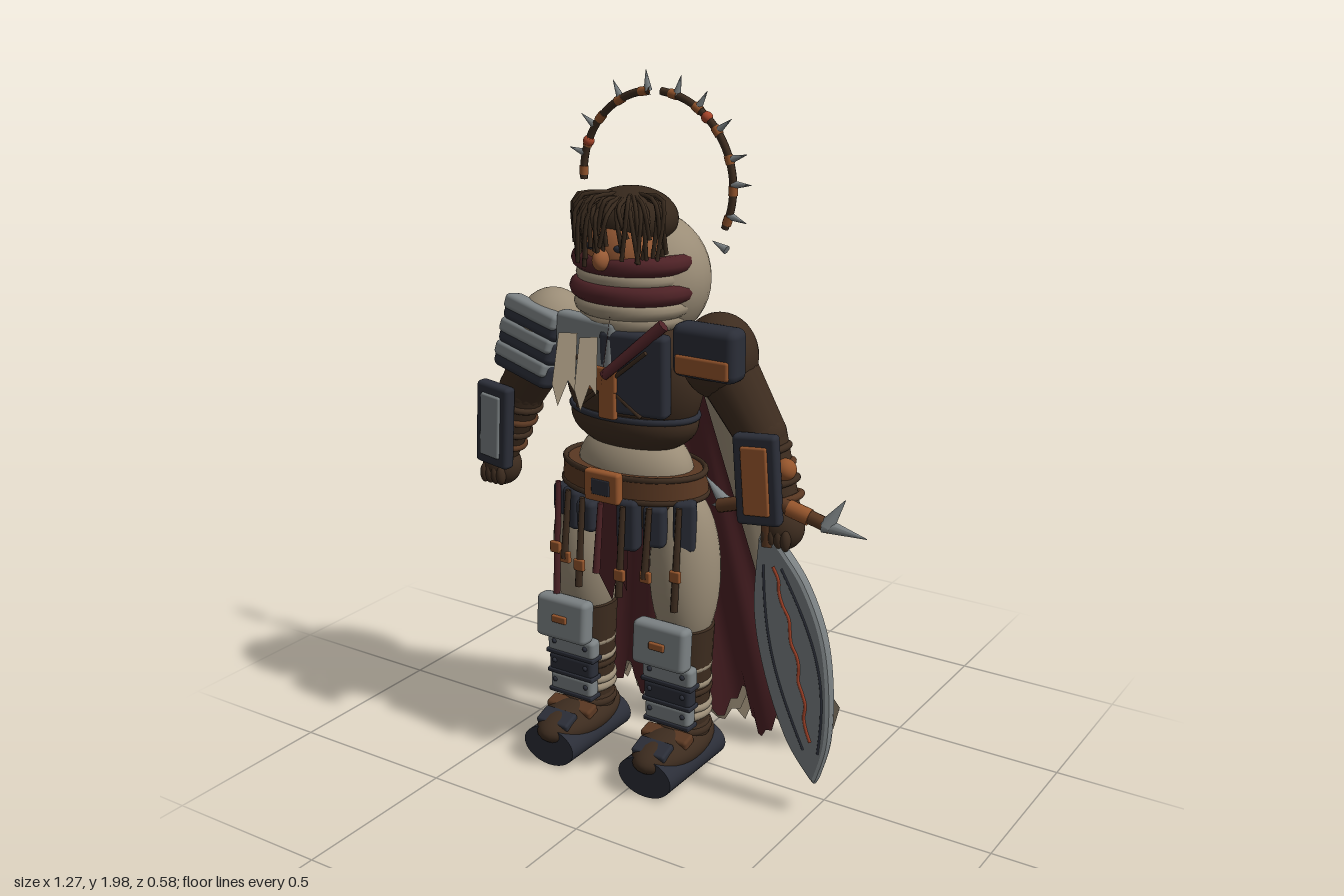
import * as THREE from 'three';
import { RoundedBoxGeometry } from 'three/addons/geometries/RoundedBoxGeometry.js';

const V = (x, y, z) => new THREE.Vector3(x, y, z);

export function createModel() {
  const root = new THREE.Group();
  root.name = 'wanderingKnight';
  const mat = (name, color, side = THREE.FrontSide) => {
    const m = new THREE.MeshStandardMaterial({ color, side });
    m.name = name;
    return m;
  };
  const linen = mat('linen', 0x9b8d77, THREE.DoubleSide);
  const burgundy = mat('burgundy cloth', 0x4e2226, THREE.DoubleSide);
  const brown = mat('dark leather', 0x3d2c1f);
  const leather = mat('tan leather', 0x5a3822);
  const hairMat = mat('hair', 0x36281c);
  const skin = mat('skin', 0x9a5c36);
  const navy = mat('dark iron', 0x2b2e38);
  const steel = mat('steel', 0x7b8183);
  const copper = mat('copper', 0x95552c);
  const ember = mat('ember', 0xa8452a);

  let seed = 7;
  const rnd = () => (seed = (seed * 16807) % 2147483647) / 2147483647;
  const add = (name, geo, m, x = 0, y = 0, z = 0, rx = 0, ry = 0, rz = 0) => {
    const o = new THREE.Mesh(geo, m);
    o.name = name;
    o.position.set(x, y, z);
    o.rotation.set(rx, ry, rz);
    root.add(o);
    return o;
  };
  const ball = (name, m, x, y, z, a, b = a, c = a) => {
    const o = add(name, new THREE.SphereGeometry(1, 32, 20), m, x, y, z);
    o.scale.set(a, b, c);
    return o;
  };
  const plate = (name, m, w, h, d, x, y, z, rx = 0, ry = 0, rz = 0) =>
    add(name, new RoundedBoxGeometry(w, h, d, 2, Math.min(w, h, d) * 0.3), m, x, y, z, rx, ry, rz);
  const limb = (name, m, a, b, ra, rb, sides = 16) => {
    const o = add(name, new THREE.CylinderGeometry(rb, ra, a.distanceTo(b), sides), m);
    o.position.copy(a).add(b).multiplyScalar(0.5);
    o.quaternion.setFromUnitVectors(V(0, 1, 0), b.clone().sub(a).normalize());
    return o;
  };
  const ring = (name, m, x, y, z, R, r, depth = 1, tilt = 0) => {
    const o = add(name, new THREE.TorusGeometry(R, r, 10, 36), m, x, y, z, Math.PI / 2, tilt, 0);
    o.scale.y = depth;
    return o;
  };
  const tube = (name, m, pts, r, n = 32) =>
    add(name, new THREE.TubeGeometry(new THREE.CatmullRomCurve3(pts), n, r, 8), m);
  const flat = (name, m, pts, x, y, z, ry = 0, rx = 0) =>
    add(name, new THREE.ShapeGeometry(new THREE.Shape(pts.map(p => new THREE.Vector2(...p)))), m, x, y, z, rx, ry);
  const cx = -0.105;

  // Torso, hood and waist
  ball('hood', linen, cx, 1.455, -0.01, 0.19, 0.185, 0.168);
  ball('chest', brown, cx, 1.18, 0.045, 0.215, 0.2, 0.125);
  ball('abdomen', brown, cx, 1.07, 0.045, 0.2, 0.1, 0.12);
  ball('waist', linen, cx, 0.92, 0.04, 0.18, 0.13, 0.115);
  ball('hips', brown, cx, 0.84, 0.04, 0.19, 0.1, 0.11);

  // Head with scarf wraps and hair
  ball('face', skin, cx, 1.55, 0.07, 0.118, 0.12, 0.12);
  ball('nose', skin, cx, 1.535, 0.195, 0.022, 0.03, 0.03);
  for (const s of [-1, 1]) ball('eye', navy, cx + s * 0.045, 1.565, 0.178, 0.016, 0.01, 0.01);
  for (const [y, R, r, m] of [[1.515, 0.15, 0.027, burgundy], [1.475, 0.14, 0.024, linen],
    [1.437, 0.155, 0.028, burgundy], [1.395, 0.145, 0.026, linen], [1.36, 0.13, 0.025, linen]])
    ring('scarfWrap', m, cx, y, 0.045, R, r, 0.86);
  ball('hairCap', hairMat, cx, 1.625, 0.052, 0.13, 0.085, 0.12);
  for (let i = 0; i < 40; i++) {
    const a = -1.35 + 2.7 * (i / 39) + (rnd() - 0.5) * 0.2, k = 0.4 + rnd() * 0.5;
    const sx = Math.sin(a), cz = Math.cos(a), b = a + (rnd() - 0.5) * 0.35;
    const low = 1.51 + rnd() * 0.09, out = 0.125 + rnd() * 0.02;
    tube('hairLock', hairMat, [V(cx + sx * 0.08 * k, 1.705 - 0.02 * k, 0.055 + cz * 0.08 * k),
      V(cx + sx * out, 1.65 + rnd() * 0.04, 0.06 + cz * out),
      V(cx + Math.sin(b) * (out + 0.004), low, 0.06 + Math.cos(b) * (out + 0.008))], 0.006, 8);
  }

  // Broken halo with bands and spikes
  const hy = 1.705, hr = 0.243, hz = -0.07;
  const arcs = [[-0.46, 1.5], [1.64, 3.2], [3.58, 3.93]];
  const onHalo = (a, r = hr) => V(cx + Math.cos(a) * r, hy + Math.sin(a) * r, hz);
  for (const [a, b] of arcs) {
    const pts = Array.from({ length: 12 }, (_, i) => onHalo(a + (b - a) * i / 11));
    tube('haloArc', brown, pts, 0.011, 40);
    for (let t = a + 0.1; t < b; t += 0.34)
      limb('haloBand', copper, onHalo(t - 0.05), onHalo(t + 0.05), 0.013, 0.013, 10);
  }
  for (const a of [-0.3, 0.05, 0.32, 0.66, 1.0, 1.3, 1.68, 2.06, 2.55, 2.9, 3.6])
    limb('haloSpike', steel, onHalo(a), onHalo(a, hr + 0.055), 0.012, 0.0008, 8);
  for (const a of [0.85, 2.75]) ball('haloBead', ember, ...onHalo(a).toArray(), 0.016);
  limb('haloShard', steel, V(0.075, 1.56, hz), V(0.12, 1.54, hz), 0.001, 0.013, 8);

  // Arms with forearm wraps, bracers and hands
  for (const s of [-1, 1]) {
    const X = d => cx + s * d;
    ball('shoulder', s < 0 ? linen : brown, X(0.275), 1.28, 0.045, 0.105, 0.118, 0.105);
    limb('upperArm', brown, V(X(0.29), 1.25, 0.04), V(X(0.4), 1.08, 0.035), 0.085, 0.07);
    ball('elbow', brown, X(0.4), 1.08, 0.035, 0.07);
    limb('forearm', brown, V(X(0.4), 1.08, 0.035), V(X(0.475), 0.88, 0.045), 0.07, 0.05);
    for (let i = 0; i < 4; i++)
      ring('forearmWrap', i % 2 ? leather : brown, X(0.415 + i * 0.017), 1.04 - i * 0.042, 0.04, 0.066 - i * 0.003, 0.01, 1, s * 0.3);
    ball('hand', brown, X(0.478), 0.835, 0.045, 0.06, 0.062, 0.055);
    for (let i = 0; i < 4; i++) ball('finger', brown, X(0.45 + i * 0.02), 0.815, 0.088, 0.014, 0.03, 0.016);
    const bx = X(0.44), r = s * 0.07;
    plate('bracer', navy, 0.125, 0.25, 0.04, bx, 0.985, 0.118, 0, s * 0.12, r);
    plate('bracerInset', s < 0 ? steel : copper, 0.075, 0.19, 0.02, bx + s * 0.002, 0.985, 0.136, 0, s * 0.12, r);
  }

  // Layered right pauldron and boxed left pauldron
  for (let i = 0; i < 3; i++) {
    const x = -0.385 - i * 0.02, y = 1.335 - i * 0.07;
    plate('pauldronLame', navy, 0.215, 0.075, 0.065, x, y - 0.012, 0.115, -0.2, -0.12, -0.22);
    plate('pauldronRim', steel, 0.205, 0.045, 0.065, x + 0.003, y + 0.008, 0.122, -0.2, -0.12, -0.22);
  }
  plate('leftPauldron', navy, 0.195, 0.145, 0.08, 0.183, 1.31, 0.12);
  plate('leftPauldronInset', copper, 0.165, 0.055, 0.03, 0.183, 1.275, 0.15);

  // Chest armour
  plate('chestPlateRight', steel, 0.21, 0.2, 0.05, -0.185, 1.265, 0.15, -0.05, -0.12, -0.03);
  plate('chestPlateLeft', navy, 0.2, 0.23, 0.05, -0.03, 1.225, 0.15, 0, 0.12, 0);
  plate('chestCrossBar', copper, 0.12, 0.07, 0.02, -0.13, 1.205, 0.18);
  plate('chestCrossPost', copper, 0.055, 0.14, 0.02, -0.1, 1.165, 0.18);
  limb('chestStrap', burgundy, V(0.06, 1.37, 0.15), V(-0.1, 1.22, 0.2), 0.018, 0.014, 8);
  limb('chestCord', brown, V(-0.21, 1.11, 0.17), V(0.03, 1.3, 0.19), 0.006, 0.006, 8);
  limb('chestCord', brown, V(-0.23, 1.28, 0.19), V(0.0, 1.11, 0.17), 0.006, 0.006, 8);
  ring('ribStrap', navy, cx, 1.09, 0.045, 0.197, 0.009, 0.6);
  const rag = [[-0.03, 0], [0.03, 0], [0.04, -0.16], [0.015, -0.13], [-0.01, -0.2], [-0.035, -0.14]];
  flat('scarfTail', linen, rag, -0.2, 1.33, 0.22, 1.2, -0.2);
  flat('scarfTail', linen, rag, -0.125, 1.33, 0.23, 1.25, -0.15);
  flat('scarfTail', burgundy, rag, -0.09, 1.38, 0.18, -1.0, -0.25);
  flat('backRag', linen, rag, 0.07, 1.31, -0.09, 1.0);
  flat('backRag', linen, rag, -0.29, 1.3, -0.09, -0.6);

  // Belt, buckle, pouches and hanging straps
  const belt = add('belt', new THREE.CylinderGeometry(0.222, 0.228, 0.065, 40), leather, cx, 0.9, 0.045);
  belt.scale.z = 0.65;
  for (const [y, R] of [[0.932, 0.218], [0.868, 0.224]]) ring('beltEdge', brown, cx, y, 0.045, R, 0.009, 0.65);
  plate('buckle', copper, 0.115, 0.09, 0.03, cx, 0.905, 0.2);
  plate('buckleCentre', navy, 0.06, 0.045, 0.01, cx, 0.905, 0.213);
  for (let i = -3; i <= 3; i++) {
    const x = cx + i * 0.068, z = 0.2 - i * i * 0.009;
    if (i) plate('pouch', navy, 0.064, 0.12 + (i % 2) * 0.03, 0.05, x, 0.8, z - 0.015, 0, i * 0.15, 0);
    const len = [0.42, 0.2, 0.26, 0.2, 0.26, 0.2, 0.3][i + 3];
    limb('hangingStrap', i === -3 || i === 0 ? burgundy : brown, V(x, 0.86, z + 0.015), V(x - 0.004, 0.86 - len, z + 0.035), 0.009, 0.012, 6);
    if (i) plate('strapStud', copper, 0.034, 0.034, 0.014, x, 0.665, z + 0.035);
  }
  flat('loincloth', burgundy, [[-0.06, 0], [0.06, 0], [0.05, -0.28], [0.02, -0.22], [0, -0.32], [-0.05, -0.24]], cx, 0.87, 0.165);

  // Legs, greaves and boots
  for (const s of [-1, 1]) {
    const x = cx + s * 0.168;
    ball('thigh', linen, x, 0.64, 0.045, 0.1, 0.25, 0.105);
    limb('shin', brown, V(x, 0.48, 0.05), V(x, 0.12, 0.05), 0.088, 0.068, 24);
    for (let i = 0; i < 6; i++) ring('shinWrap', i % 3 ? linen : brown, x, 0.17 + i * 0.037, 0.05, 0.07, 0.013, 1, 0.1 * (i % 2 ? 1 : -1));
    plate('kneePlate', steel, 0.175, 0.13, 0.055, x, 0.455, 0.165, -0.08);
    plate('kneeStud', copper, 0.05, 0.022, 0.012, x, 0.46, 0.194);
    for (let i = 0; i < 3; i++) {
      plate('greaveBand', i === 1 ? navy : steel, 0.165 - i * 0.008, 0.06, 0.045, x, 0.355 - i * 0.062, 0.125);
      plate('greaveRim', navy, 0.17 - i * 0.008, 0.014, 0.05, x, 0.325 - i * 0.062, 0.125);
      for (const t of [-1, 1]) ball('greaveRivet', navy, x + t * 0.055, 0.36 - i * 0.062, 0.146, 0.008);
    }
    ball('boot', brown, x, 0.12, 0.105, 0.088, 0.058, 0.175);
    ball('ankle', brown, x, 0.16, 0.05, 0.078, 0.06, 0.08);
    plate('bootStrap', leather, 0.155, 0.03, 0.05, x, 0.158, 0.14, 0.25);
    plate('toeCap', navy, 0.11, 0.025, 0.06, x, 0.15, 0.215, 0.35);
    const sole = add('sole', new THREE.CylinderGeometry(0.0875, 0.0875, 0.3, 32), navy, x, 0.08, 0.11, Math.PI / 2);
    sole.scale.z = 0.68;
  }

  // Leaf blade with ember vein and curved horned guard
  const outline = new THREE.Shape();
  outline.moveTo(0.335, 0.8);
  outline.splineThru([[0.325, 0.6], [0.36, 0.42], [0.43, 0.24], [0.51, 0.135]].map(p => new THREE.Vector2(...p)));
  outline.splineThru([[0.54, 0.25], [0.543, 0.4], [0.52, 0.56], [0.46, 0.7], [0.38, 0.8]].map(p => new THREE.Vector2(...p)));
  add('blade', new THREE.ExtrudeGeometry(outline, { depth: 0.004, bevelThickness: 0.018, bevelSize: 0.012, bevelSegments: 2, curveSegments: 10 }), steel, 0, 0, 0.078);
  const vein = (x0, y0, x1, y1, wob, bow) => Array.from({ length: 15 }, (_, i) =>
    V(x0 + (x1 - x0) * i / 14 + wob * Math.sin(i * 1.9) + bow * Math.sin(i / 14 * Math.PI), y0 + (y1 - y0) * i / 14, 0.099));
  tube('bladeVein', ember, vein(0.375, 0.74, 0.495, 0.25, 0.006, 0.015), 0.005, 60);
  tube('bladeGroove', navy, vein(0.4, 0.74, 0.525, 0.22, 0, 0.055), 0.004, 40);
  tube('bladeGroove', navy, vein(0.345, 0.74, 0.48, 0.22, 0, -0.035), 0.004, 40);
  limb('grip', leather, V(0.355, 0.79, 0.085), V(0.33, 1.02, 0.06), 0.022, 0.02);
  ball('pommel', copper, 0.385, 1.005, 0.06, 0.03);
  tube('guard', leather, [V(0.2, 0.875, 0.09), V(0.28, 0.9, 0.09), V(0.36, 0.92, 0.09), V(0.45, 0.9, 0.08), V(0.53, 0.875, 0.07)], 0.02);
  limb('guardBand', copper, V(0.41, 0.91, 0.084), V(0.47, 0.893, 0.078), 0.023, 0.023);
  for (const [a, b] of [[[0.51, 0.88], [0.63, 0.86]], [[0.52, 0.88], [0.565, 0.955]], [[0.21, 0.88], [0.14, 0.94]], [[0.22, 0.88], [0.16, 0.86]]])
    limb('guardHorn', steel, V(a[0], a[1], 0.075), V(b[0], b[1], 0.062), 0.021, 0.001, 10);

  // Cape layers, widening downwards with growing folds and a torn hem
  const cape = (name, m, top, x0, x1, X0, X1, off, hem) => {
    const g = new THREE.PlaneGeometry(1, 1, 48, 14), p = g.attributes.position;
    for (let i = 0; i < p.count; i++) {
      const u = p.getX(i) + 0.5, v = 0.5 - p.getY(i);
      const h = hem[Math.floor(Math.round(u * 48) / 2) % hem.length];
      const y = top - v * (top - 0.05 - h * v ** 6);
      const xa = x0 + (X0 - x0) * v, xb = x1 + (X1 - x1) * v;
      p.setXYZ(i, xa + (xb - xa) * u, y, off - 0.085 - 0.12 * (1.27 - y) - 0.026 * v * Math.cos(u * Math.PI * 8) - 0.015 * Math.sin(u * Math.PI) * (1 - v));
    }
    g.computeVertexNormals();
    return add(name, g, m);
  };
  cape('cape', linen, 1.28, -0.28, 0.08, -0.63, 0.42, 0, [0.07, 0.01, 0, 0.04, 0.1, 0.15, 0.04, 0.08, 0.02, 0.1, 0.05, 0.13, 0.03]);
  cape('capeLining', burgundy, 1.2, -0.24, 0.03, -0.53, 0.32, 0.032, [0.02, 0.08, 0.13, 0.04, 0, 0.03, 0.1, 0.05]);

  // Loose tatters along the hem, and tears showing the lining
  [-0.42, -0.37, -0.28, -0.2, -0.13, 0.07, 0.16, 0.22, 0.3].forEach((x, i) => {
    const h = 0.17 + 0.09 * rnd();
    flat('tatter', i === 2 || i === 7 ? burgundy : linen, [[-0.03, h], [0.028, h - 0.04], [0.03, 0.05], [0.005, 0], [-0.025, 0.06]],
      x, 0.02 + 0.04 * rnd(), -0.285, i % 2 ? 0.75 : -0.7, 0.2);
  });
  for (const [x, h] of [[0.25, 0.2], [0.06, 0.3], [-0.04, 0.17], [-0.26, 0.2], [-0.36, 0.14]])
    flat('capeTear', burgundy, [[-0.022, 0], [0.028, 0.02], [0.012, h]], x, 0.12, -0.254, 0, 0.12);
  return root;
}
